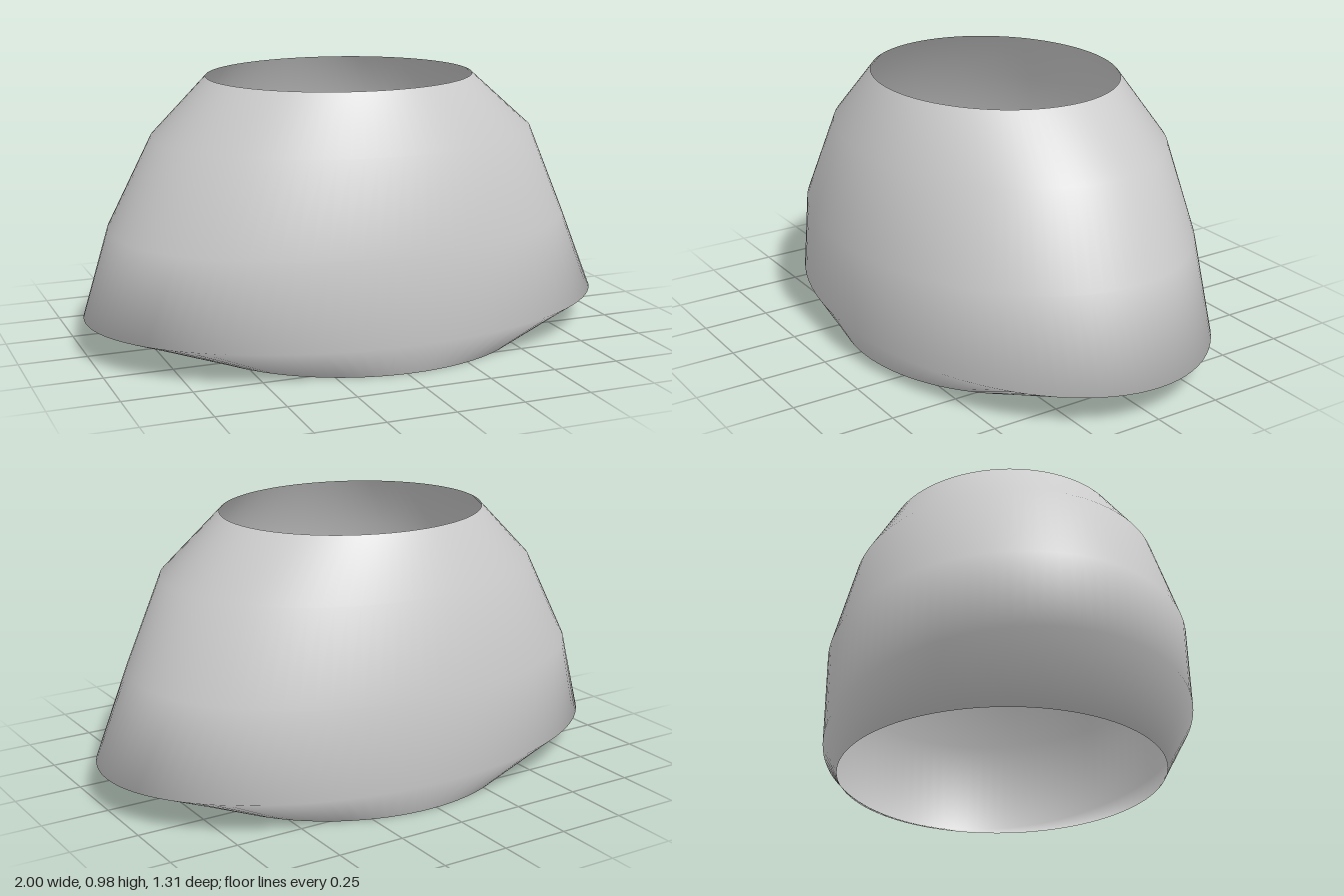
import * as THREE from 'three';

// Elliptical cross-sections: height, left and right x limits, half depth
const RINGS = [
  [0.0, -0.63, 0.68, 0.6],
  [0.12, -1.0, 1.0, 0.655],
  [0.44, -0.9, 0.86, 0.655],
  [0.77, -0.73, 0.72, 0.565],
  [0.98, -0.52, 0.48, 0.44],
];
const SEGMENTS = 96;

// Joins the cross-sections into one smooth tube, open at both ends
function loftRings(rings, segments) {
  const positions = [];
  const index = [];
  for (const [y, xMin, xMax, depth] of rings) {
    const centre = (xMin + xMax) / 2;
    const radius = (xMax - xMin) / 2;
    for (let i = 0; i < segments; i++) {
      const a = (i / segments) * Math.PI * 2;
      positions.push(centre + radius * Math.cos(a), y, depth * Math.sin(a));
    }
  }
  for (let r = 0; r < rings.length - 1; r++) {
    for (let i = 0; i < segments; i++) {
      const next = (i + 1) % segments;
      const a = r * segments + i;
      const b = r * segments + next;
      const c = a + segments;
      const d = b + segments;
      index.push(a, c, b, b, c, d);
    }
  }
  const geometry = new THREE.BufferGeometry();
  geometry.setAttribute('position', new THREE.Float32BufferAttribute(positions, 3));
  geometry.setIndex(index);
  geometry.computeVertexNormals();
  return geometry;
}

export function createModel() {
  const model = new THREE.Group();
  model.name = 'openShell';

  const shellGrey = new THREE.MeshStandardMaterial({ color: 0xcccccc, side: THREE.DoubleSide });
  shellGrey.name = 'light grey';

  // Thin-walled shell with oval openings at top and bottom
  const shell = new THREE.Mesh(loftRings(RINGS, SEGMENTS), shellGrey);
  shell.name = 'shell';
  model.add(shell);
  return model;
}
